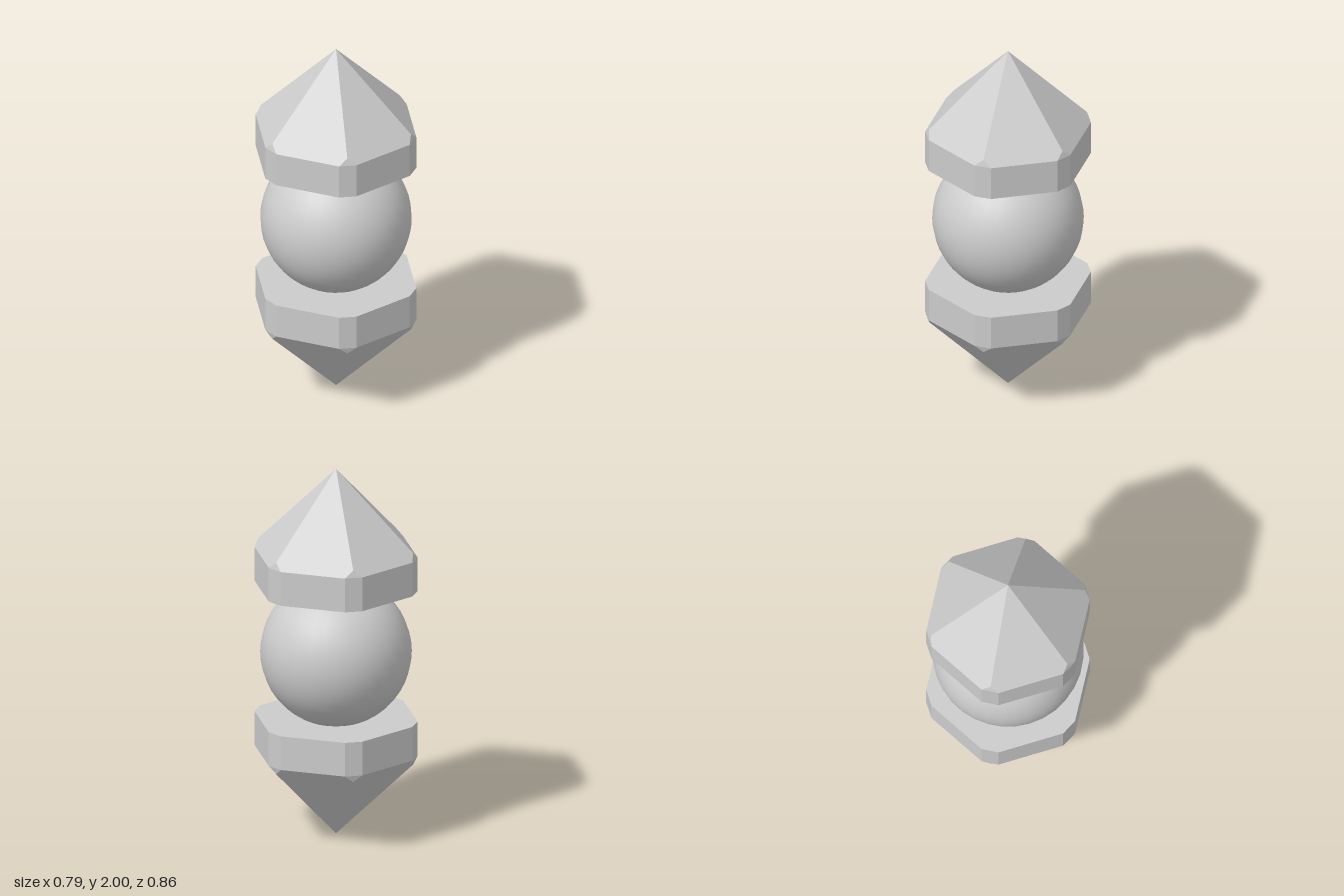
import * as THREE from 'three';
import { ConvexGeometry } from 'three/addons/geometries/ConvexGeometry.js';

const APOTHEM = 0.396;  // distance to the six flat sides
const CORNER = 0.431;   // distance to the cut corners
const BASE = 0.358;     // inner face, measured from the middle
const SHOULDER = 0.543; // where the band meets the point
const APEX = 1;

// Six-sided band with a pyramid point and small cut corners
function pointedCapGeometry() {
  const full = APOTHEM / Math.cos(Math.PI / 6); // uncut corner distance
  const half = (full - CORNER) * Math.tan(Math.PI / 3);
  const tipRadius = 0.42;
  // the tip of each corner cut lies on a pyramid edge
  const tipY = APEX - (APEX - SHOULDER) * tipRadius / full;
  const points = [new THREE.Vector3(0, APEX, 0)];
  for (let i = 0; i < 6; i++) {
    const corner = [new THREE.Vector3(0, tipY, tipRadius)];
    for (const x of [-half, half]) {
      for (const y of [BASE, SHOULDER]) corner.push(new THREE.Vector3(x, y, CORNER));
    }
    const angle = i * Math.PI / 3;
    for (const p of corner) points.push(p.applyAxisAngle(THREE.Object3D.DEFAULT_UP, angle));
  }
  return new ConvexGeometry(points);
}

export function createModel() {
  const model = new THREE.Group();
  model.name = 'pointedOrnament';
  const flat = new THREE.MeshStandardMaterial({ color: 0xcccccc, flatShading: true });
  const smooth = new THREE.MeshStandardMaterial({ color: 0xcccccc });

  // Central ball
  const ball = new THREE.Mesh(new THREE.SphereGeometry(0.394, 32, 24), smooth);
  ball.name = 'centreBall';
  ball.position.y = 1;
  model.add(ball);

  // Matching caps above and below
  const capGeometry = pointedCapGeometry();
  for (const [name, turn] of [['upperCap', 0], ['lowerCap', Math.PI]]) {
    const cap = new THREE.Mesh(capGeometry, flat);
    cap.name = name;
    cap.position.y = 1;
    cap.rotation.x = turn;
    model.add(cap);
  }
  return model;
}
